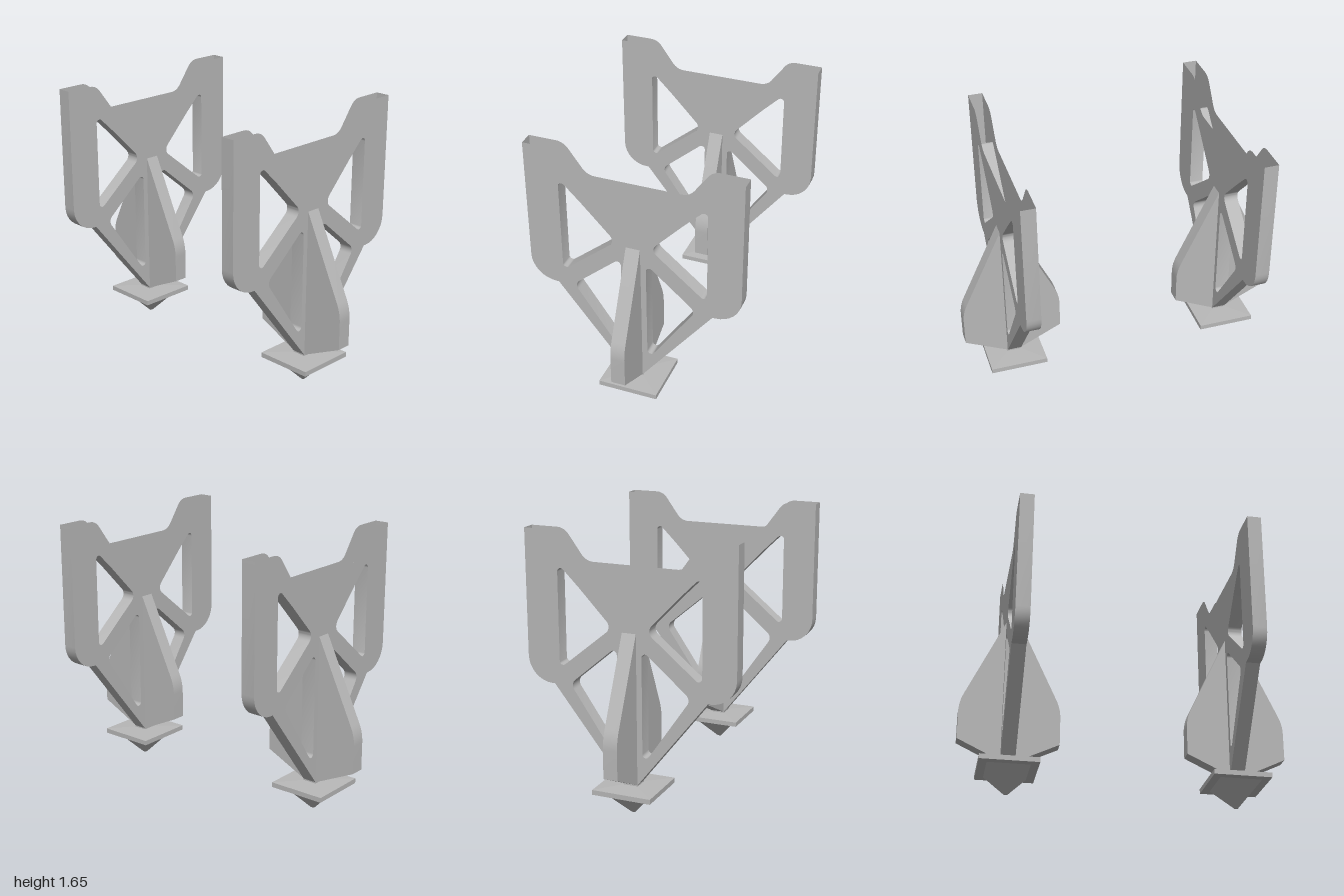
import * as THREE from 'three';
import { toCreasedNormals } from 'three/addons/utils/BufferGeometryUtils.js';

const T = 0.087; // sheet depth of frame and fins

// Trace a polygon of [x, y, cornerRadius] with rounded corners
function roundedPath(points, path) {
  const n = points.length;
  const v = points.map(([x, y]) => new THREE.Vector2(x, y));
  points.forEach(([, , r = 0], i) => {
    const p = v[i];
    const a = v[(i + n - 1) % n].clone().sub(p).normalize();
    const b = v[(i + 1) % n].clone().sub(p).normalize();
    const turn = Math.PI - Math.acos(a.dot(b));
    const t = r * Math.tan(turn / 2);
    const h = t - (4 / 3) * Math.tan(turn / 4) * r;
    const at = (d, s) => p.clone().addScaledVector(d, s);
    const start = at(a, t), end = at(b, t), c1 = at(a, h), c2 = at(b, h);
    if (i === 0) path.moveTo(start.x, start.y);
    else path.lineTo(start.x, start.y);
    if (r > 0) path.bezierCurveTo(c1.x, c1.y, c2.x, c2.y, end.x, end.y);
  });
  path.closePath();
  return path;
}

const mirror = (points) => points.map(([x, y, r]) => [-x, y, r]).reverse();

// Extrude a shape about z = 0 and leave out the rim walls that are open
function openExtrude(shape, isOpen) {
  const source = new THREE.ExtrudeGeometry(shape, { depth: T, bevelEnabled: false, curveSegments: 8 });
  source.translate(0, 0, -T / 2);
  const g = source.index ? source.toNonIndexed() : source;
  const p = g.attributes.position;
  const kept = [];
  for (let i = 0; i < p.count; i += 3) {
    const tri = [0, 1, 2].map((k) => new THREE.Vector3().fromBufferAttribute(p, i + k));
    const isRim = !(tri[0].z === tri[1].z && tri[1].z === tri[2].z);
    if (isRim && tri.every(isOpen)) continue;
    tri.forEach((q) => kept.push(q.x, q.y, q.z));
  }
  const out = new THREE.BufferGeometry();
  out.setAttribute('position', new THREE.Float32BufferAttribute(kept, 3));
  return toCreasedNormals(out, 0.5);
}

// Flat bracket with four windows, open along its top edge
function frameGeometry() {
  const half = [
    [0.045, 0.19], [0.48, 0.745], [0.65, 0.745, 0.155], [0.65, 1.655],
    [0.44, 1.655, 0.09], [0.305, 1.47, 0.09],
  ];
  const upperWindow = [[0.445, 0.84, 0.022], [0.445, 1.468, 0.022], [0.31, 1.335, 0.1], [0.105, 1.12, 0.045]];
  const lowerWindow = [[0.077, 0.315, 0.022], [0.378, 0.756, 0.045], [0.077, 1.013, 0.022]];
  const shape = roundedPath([...half, ...mirror(half)], new THREE.Shape());
  for (const w of [upperWindow, lowerWindow]) {
    for (const pts of [w, mirror(w)]) shape.holes.push(roundedPath(pts, new THREE.Path()));
  }
  return openExtrude(shape, (q) => q.y > 1.465 || q.y < 0.2);
}

// Tapered fin standing out from the frame, open where they join
function finGeometry() {
  const e = T / 2;
  const shape = roundedPath(
    [[e, 0.19], [0.305, 0.315], [0.305, 0.547, 0.27], [e, 1.1]], new THREE.Shape());
  return openExtrude(shape, (q) => q.x < e + 0.001).rotateY(-Math.PI / 2);
}

// Square collar and hollow spike, turned with four sides
function footGeometry() {
  const profile = [[0.01, 0], [0.132, 0.145], [0.183, 0.145], [0.183, 0.175], [0.045, 0.182], [0.045, 0.19]];
  const points = [[0, 0], ...profile].map(([w, y]) => new THREE.Vector2(w * Math.SQRT2, y));
  const g = new THREE.LatheGeometry(points, 4).rotateY(Math.PI / 4).scale(1, 1, 0.97);
  return toCreasedNormals(g, 0.02);
}

export function createModel() {
  const grey = new THREE.MeshStandardMaterial({ color: 0xb8b8b8, side: THREE.DoubleSide });
  grey.name = 'grey';
  const frame = frameGeometry(), fin = finGeometry(), foot = footGeometry();
  const add = (parent, name, geometry) => {
    const mesh = new THREE.Mesh(geometry, grey);
    mesh.name = name;
    parent.add(mesh);
    return mesh;
  };

  const model = new THREE.Group();
  model.name = 'bracketPair';
  for (const [name, z] of [['frontBracket', 0.695], ['backBracket', -0.695]]) {
    const unit = new THREE.Group();
    unit.name = name;
    unit.position.z = z;
    add(unit, 'frame', frame);
    add(unit, 'frontFin', fin);
    add(unit, 'backFin', fin).rotation.y = Math.PI;
    add(unit, 'spikeFoot', foot);
    model.add(unit);
  }
  return model;
}
